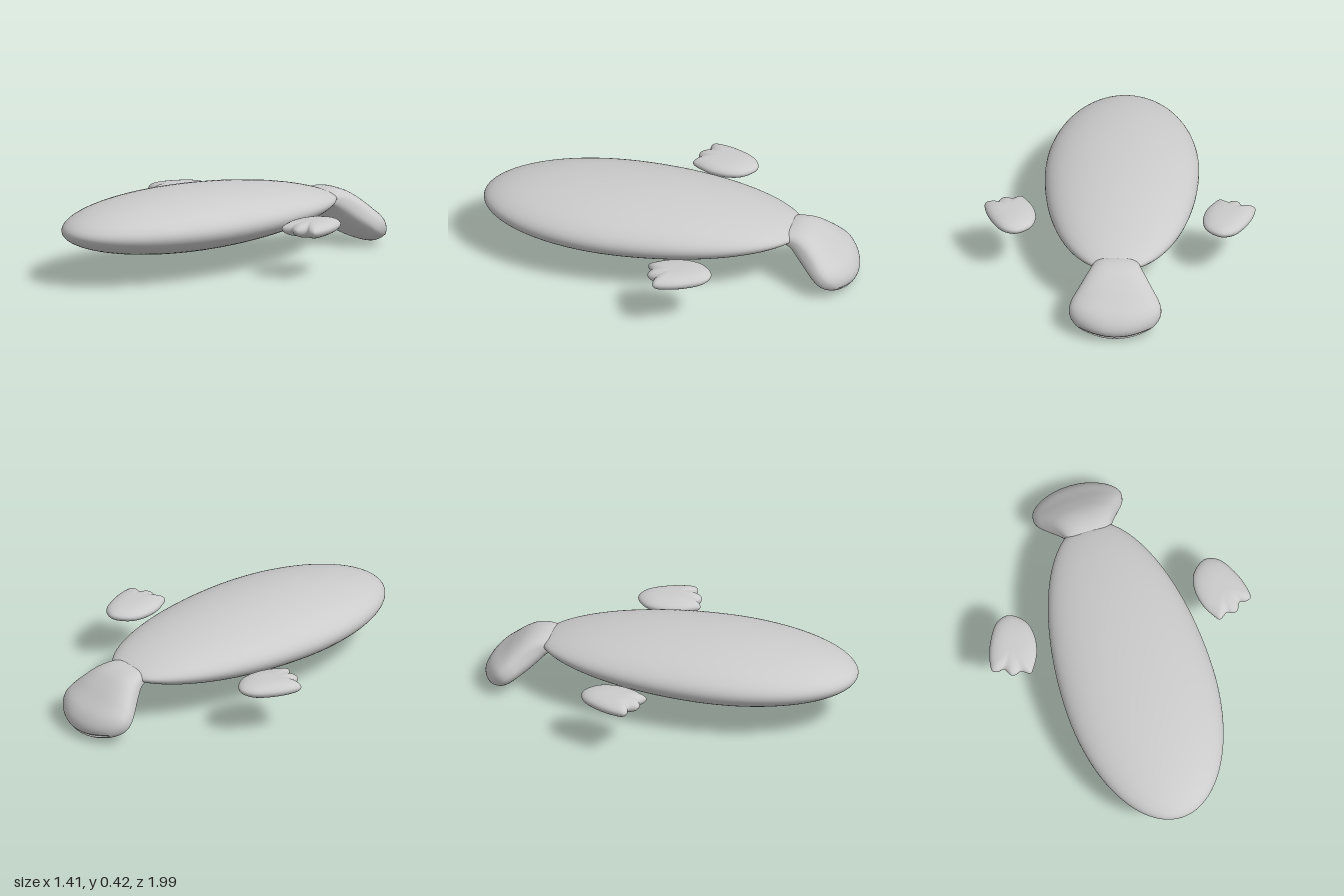
import * as THREE from 'three';

const grey = new THREE.MeshStandardMaterial({ color: 0xcccccc });

// Smooth closed skin through rings of equal point count; both ends are capped at the ring centre.
function loft(name, rings) {
  const n = rings[0].length;
  const centre = (ring) => ring.reduce((c, p) => c.add(p), new THREE.Vector3()).divideScalar(n);
  const vertices = [...rings.flat(), centre(rings[0]), centre(rings[rings.length - 1])];
  const first = rings.length * n, last = first + 1, end = (rings.length - 1) * n;
  const index = [];
  for (let j = 0; j < n; j++) {
    const k = (j + 1) % n;
    for (let i = 0; i < rings.length - 1; i++) {
      const a = i * n + j, b = i * n + k;
      index.push(a, a + n, b, b, a + n, b + n);
    }
    index.push(first, j, k, last, end + k, end + j);
  }
  const geometry = new THREE.BufferGeometry().setFromPoints(vertices);
  geometry.setIndex(index);
  geometry.computeVertexNormals();
  const mesh = new THREE.Mesh(geometry, grey);
  mesh.name = name;
  return mesh;
}

// Interpolates every column of a station table smoothly
function smoothRows(rows, count) {
  const curves = rows[0].map((_, c) => new THREE.SplineCurve(rows.map((r, i) => new THREE.Vector2(i, r[c]))));
  return Array.from({ length: count + 1 }, (_, i) => curves.map((c) => c.getPoint(i / count).y));
}

const signedPow = (v, e) => Math.sign(v) * Math.abs(v) ** e;

// Flattened body: rounded nose, longer taper towards the tail
function makeBody() {
  const rings = [];
  const addRing = (z, w, h) => rings.push(Array.from({ length: 64 }, (_, j) => {
    const a = (j / 64) * Math.PI * 2;
    return new THREE.Vector3(Math.cos(a) * w, 0.274 + Math.sin(a) * h, z);
  }));
  for (let i = 1; i <= 24; i++) {
    const t = (i / 24) * Math.PI / 2;
    addRing(0.25 + 0.75 * Math.cos(t), 0.4 * Math.sin(t), 0.153 * Math.sin(t));
  }
  for (let i = 1; i <= 28; i++) {
    const z = 0.25 - (0.9 * i) / 28;
    const f = Math.sqrt(1 - ((z - 0.25) / 0.952) ** 2);
    addRing(z, 0.4 * f, 0.153 * f ** 1.4);
  }
  addRing(-0.66, 0.1, 0.022);
  return loft('body', rings);
}

// Thick paddle tail, bent downwards, with an arched rear edge
function makeTail() {
  // z, y, half width, half thickness, downward tilt, arch
  const rows = smoothRows([
    [-0.61, 0.268, 0.115, 0.035, 0, 0],
    [-0.665, 0.26, 0.13, 0.057, 0.3, 0],
    [-0.72, 0.235, 0.16, 0.073, 0.6, 0.05],
    [-0.78, 0.187, 0.195, 0.08, 0.69, 0.25],
    [-0.84, 0.136, 0.225, 0.08, 0.69, 0.5],
    [-0.9, 0.088, 0.24, 0.078, 0.69, 0.75],
    [-0.94, 0.055, 0.235, 0.064, 0.69, 0.9],
    [-0.965, 0.036, 0.215, 0.04, 0.69, 1],
    [-0.974, 0.029, 0.19, 0.012, 0.69, 1],
  ], 32);
  return loft('tail', rows.map(([z, y, w, t, tilt, arch]) => Array.from({ length: 48 }, (_, j) => {
    const a = (j / 48) * Math.PI * 2;
    const x = signedPow(Math.cos(a), 0.75) * w;
    const up = signedPow(Math.sin(a), 0.75) * t;
    const bend = arch * (x / 0.24) ** 2;
    return new THREE.Vector3(x, y + up * Math.cos(tilt) + bend * 0.05, z - up * Math.sin(tilt) + bend * 0.08);
  })));
}

// Pillow-shaped flipper with scalloped front edge, flatter on top
function makeFlipper(name, side) {
  const outline = [
    [0.53, -0.33], [0.6, -0.31], [0.667, -0.21], [0.7, -0.106], [0.7, -0.058], [0.672, -0.048],
    [0.64, -0.053], [0.614, -0.01], [0.587, -0.005], [0.56, -0.016], [0.513, 0.01],
    [0.487, -0.02], [0.45, -0.09], [0.434, -0.185], [0.455, -0.27],
  ].map(([x, z]) => new THREE.Vector3(x * side, 0, z));
  if (side < 0) outline.reverse();
  const edge = new THREE.CatmullRomCurve3(outline, true).getPoints(72).slice(0, 72);
  const middle = new THREE.Vector3(0.57 * side, 0, -0.15);
  const rings = [];
  for (let i = 1; i < 24; i++) {
    const a = (i / 24 - 0.5) * Math.PI, s = Math.sin(a);
    const scale = Math.cos(a) ** (s > 0 ? 0.7 : 0.85);
    const y = 0.27 + s * (s > 0 ? 0.04 : 0.048);
    rings.push(edge.map((p) => p.clone().lerp(middle, 1 - scale).setY(y)));
  }
  return loft(name, rings);
}

export function createModel() {
  const model = new THREE.Group();
  model.name = 'seaMammal';
  model.add(makeBody(), makeTail(), makeFlipper('leftFlipper', 1), makeFlipper('rightFlipper', -1));
  return model;
}
